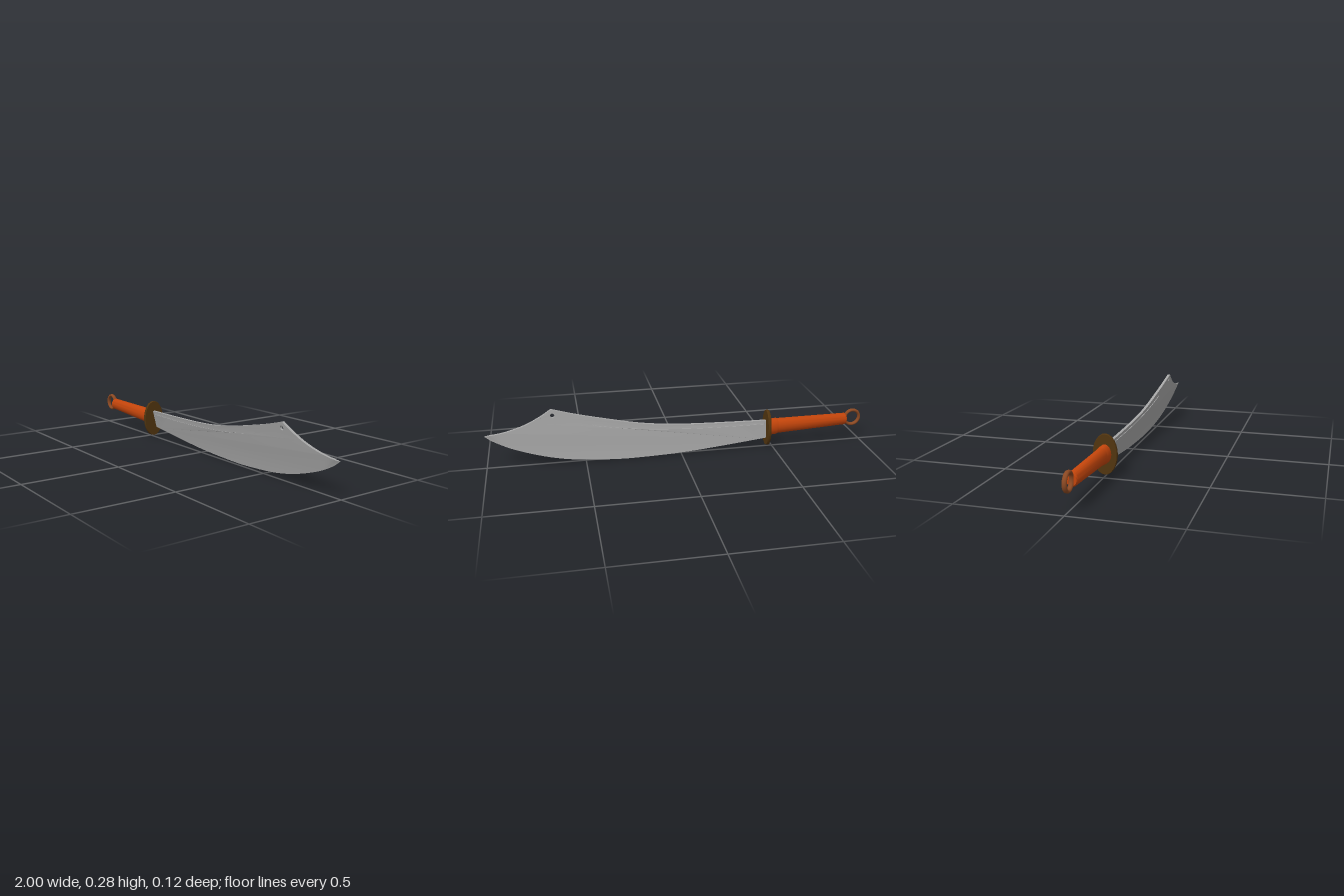
import * as THREE from 'three';
import { toCreasedNormals } from 'three/addons/utils/BufferGeometryUtils.js';

const steel = new THREE.MeshStandardMaterial({ name: 'steel', color: 0xa6a6a6 });
const gripOrange = new THREE.MeshStandardMaterial({ name: 'grip orange', color: 0xc4450b });
const guardBrown = new THREE.MeshStandardMaterial({ name: 'guard brown', color: 0x52350f });
const ringBrown = new THREE.MeshStandardMaterial({ name: 'ring copper brown', color: 0x8a4822 });

const curve = (pts, n) =>
  new THREE.SplineCurve(pts.map(([x, y]) => new THREE.Vector2(x, y))).getPoints(n);

// Height of a left-to-right polyline at x
function heightAt(line, x) {
  for (let i = 1; i < line.length; i++) {
    if (x <= line[i].x) {
      const a = line[i - 1], b = line[i];
      return a.y + (b.y - a.y) * THREE.MathUtils.clamp((x - a.x) / (b.x - a.x), 0, 1);
    }
  }
  return line[line.length - 1].y;
}

// Blade outline: spine, clipped point and cutting edge
const spine = curve([[-0.47, 0.149], [-0.25, 0.152], [0, 0.16], [0.2, 0.179], [0.4, 0.218], [0.55, 0.252], [0.663, 0.283]], 30);
const clip = curve([[0.663, 0.283], [0.72, 0.248], [0.8, 0.21], [0.9, 0.181], [1, 0.168]], 16);
const edge = curve([[-0.47, 0.054], [-0.2, 0.026], [0, 0.009], [0.2, 0.001], [0.35, 0.001], [0.55, 0.015], [0.7, 0.042], [0.85, 0.088], [0.95, 0.134], [1, 0.168]], 40);
const back = [...spine, ...clip.slice(1)];
const fullerLine = curve([[-0.455, 0.134], [-0.2, 0.135], [0, 0.141], [0.2, 0.155], [0.35, 0.174], [0.46, 0.193]], 24);

// Closed narrow strip along a line, pointed at the far end
function strip(line, halfWidth) {
  const w = (i) => halfWidth * (i === line.length - 1 ? 0.4 : 1);
  const upper = line.map((p, i) => new THREE.Vector2(p.x, p.y + w(i)));
  const lower = line.map((p, i) => new THREE.Vector2(p.x, p.y - w(i)));
  return [...lower, ...upper.reverse()];
}

// Extrude a shape, set its half thickness by a rule and lean it to the blade plane
function bladePlate(shape, halfThickness) {
  const geo = new THREE.ExtrudeGeometry(shape, { depth: 2, bevelEnabled: false, curveSegments: 12 });
  geo.translate(0, 0, -1);
  const p = geo.attributes.position;
  for (let i = 0; i < p.count; i++) {
    const x = p.getX(i), y = p.getY(i);
    const centre = -0.016 + 0.168 * y + 0.008 * (x - 0.65);
    p.setZ(i, centre + p.getZ(i) * halfThickness(x, y));
  }
  return toCreasedNormals(geo, 0.4);
}

function wedge(x, y) {
  const low = heightAt(edge, x), high = heightAt(back, x);
  const t = THREE.MathUtils.clamp((y - low) / Math.max(high - low, 0.02), 0, 1);
  return THREE.MathUtils.lerp(0.001, 0.0075, t);
}

// Elliptical rod along x; each section is [x, centre y, radius y, radius z]
function rod(sections, sides) {
  const n = sections.length - 1;
  const geo = new THREE.CylinderGeometry(1, 1, n, sides, n);
  geo.rotateZ(-Math.PI / 2);
  const p = geo.attributes.position;
  for (let i = 0; i < p.count; i++) {
    const [x, cy, ry, rz] = sections[Math.round(p.getX(i) + n / 2)];
    p.setXYZ(i, x, cy + p.getY(i) * ry, p.getZ(i) * rz);
  }
  return toCreasedNormals(geo, 0.6);
}

export function createModel() {
  const model = new THREE.Group();
  model.name = 'curvedSword';
  const add = (name, geo, mat) => {
    const mesh = new THREE.Mesh(geo, mat);
    mesh.name = name;
    model.add(mesh);
    return mesh;
  };

  // Blade with a fuller slot and a small eyelet
  const outline = new THREE.Shape([...edge, ...back.slice(0, -1).reverse()]);
  outline.holes.push(new THREE.Path(strip(fullerLine, 0.005)));
  outline.holes.push(new THREE.Path().absarc(0.657, 0.252, 0.011, 0, Math.PI * 2, true));
  add('blade', bladePlate(outline, wedge), steel);

  // Recessed floor of the fuller
  add('fullerFloor', bladePlate(new THREE.Shape(strip(fullerLine, 0.0055)), () => 0.003), steel);

  // Oval hand guard
  add('guard', rod([[-0.478, 0.106, 0.097, 0.058], [-0.475, 0.106, 0.099, 0.06],
    [-0.465, 0.106, 0.099, 0.06], [-0.462, 0.106, 0.097, 0.058]], 24), guardBrown);

  // Tapered grip and its collar
  add('grip', rod([[-0.914, 0.123, 0.027, 0.023], [-0.906, 0.123, 0.032, 0.028],
    [-0.52, 0.112, 0.042, 0.029]], 24), gripOrange);
  add('collar', rod([[-0.526, 0.112, 0.042, 0.029], [-0.518, 0.111, 0.045, 0.032],
    [-0.476, 0.109, 0.046, 0.032]], 24), gripOrange);

  // Pommel ring
  const ring = add('pommelRing', new THREE.TorusGeometry(0.0405, 0.008, 10, 32), ringBrown);
  ring.position.set(-0.951, 0.129, 0);
  ring.scale.z = 1.4;

  return model;
}
